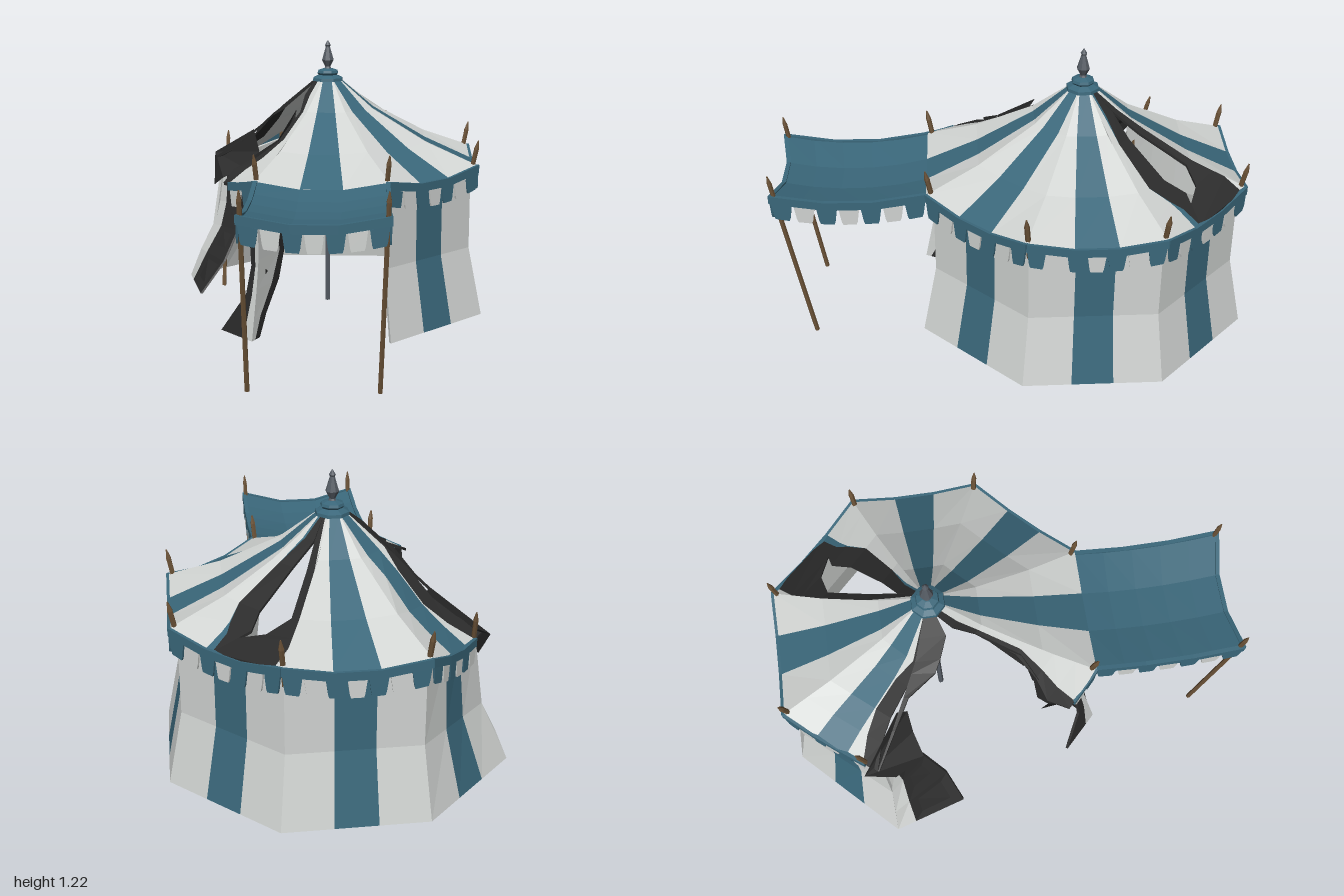
import * as THREE from 'three';

const material = (name, color, side = THREE.FrontSide) => {
  const m = new THREE.MeshStandardMaterial({ color, flatShading: true, side });
  m.name = name;
  return m;
};
const canvas = material('pale canvas', 0xd0d3d1);
const teal = material('teal canvas', 0x3a677a);
const char = material('charred cloth', 0x2b2b2b, THREE.DoubleSide);
const wood = material('wood', 0x6b5237);
const metal = material('dark metal', 0x555b63);

const CZ = -0.31; // tent centre
const V = (x, y, z) => new THREE.Vector3(x, y, z);
const lerp = THREE.MathUtils.lerp;

// Cloth with thickness: each row is [v, cut0, cut1, ...]; mats fill the spans between cuts.
// P(u, v, d) gives a point at depth d below the outer face.
function cloth(name, P, rows, mats, lining = canvas, thick = 0.012) {
  const bins = new Map();
  const quad = (m, a, b, c, d) => {
    if (!bins.has(m)) bins.set(m, []);
    for (const p of [a, b, c, a, c, d]) bins.get(m).push(p.x, p.y, p.z);
  };
  for (let r = 0; r + 1 < rows.length; r++) {
    const [v0, ...top] = rows[r], [v1, ...bot] = rows[r + 1];
    mats.forEach((m, i) => {
      if (top[i + 1] - top[i] < 1e-4 && bot[i + 1] - bot[i] < 1e-4) return;
      const inner = m === char ? char : lining;
      const corners = d => [P(top[i], v0, d), P(top[i + 1], v0, d), P(bot[i + 1], v1, d), P(bot[i], v1, d)];
      const [a, b, c, e] = corners(0), [A, B, C, E] = corners(thick);
      quad(m, a, b, c, e);
      quad(inner, B, A, E, C);
      if (i === 0) quad(inner, a, e, E, A);
      if (i === mats.length - 1) quad(inner, c, b, B, C);
      if (r === 0) quad(inner, b, a, A, B);
      if (r === rows.length - 2) quad(inner, e, c, C, E);
    });
  }
  const group = new THREE.Group();
  group.name = name;
  for (const [m, pos] of bins) {
    const g = new THREE.BufferGeometry();
    g.setAttribute('position', new THREE.Float32BufferAttribute(pos, 3));
    g.computeVertexNormals();
    const mesh = new THREE.Mesh(g, m);
    mesh.name = `${name} ${m.name}`;
    group.add(mesh);
  }
  return group;
}

// Point on one of eight sides, numbered from +x towards the front
function onSide(side, u, R, y) {
  const at = k => { const t = (side * 45 + k * 22.5) * Math.PI / 180; return V(R * Math.cos(t), y, CZ + R * Math.sin(t)); };
  return at(-1).lerp(at(1), u);
}
// The back left corner has collapsed inwards
function collapse(p) {
  const w = Math.max(0, 1 - Math.hypot(p.x + 0.66, p.z + 0.59) / 0.5) * THREE.MathUtils.clamp((p.y - 0.08) / 0.45, 0, 1);
  return p.add(V(0.11 * w, -0.07 * w, -0.03 * w));
}
// Piecewise linear profile of [radius, height]
function profile(list, v) {
  const i = Math.min(Math.floor(v), list.length - 2), t = v - i;
  return [0, 1].map(k => lerp(list[i][k], list[i + 1][k], t));
}
const ROOF = [[0.06, 1.045], [0.22, 0.92], [0.48, 0.785], [0.718, 0.70]];
const WALL = [[0.685, 0.67], [0.685, 0.33], [0.75, 0.03]];
const roofAt = side => (u, v, d) => {
  const [R, y] = profile(ROOF, v);
  const p = onSide(side, u, R, y - 0.035 * (v / 3) ** 2 * 4 * u * (1 - u));
  return collapse(p).add(V(0, -d, 0));
};
const wallAt = side => (u, v, d) => {
  const [R, y] = profile(WALL, v);
  const p = collapse(onSide(side, u, R - d, y));
  if (side === 4) p.x += (1 - u) * (0.17 + 0.35 * (2 - v)); // torn flaps curl inwards
  if (side === 2) p.z -= (1 - u) * 1.2;
  return p;
};

// Teal band and hanging flags along an edge curve
function valance(name, edge, out, start = 0, end = 1) {
  const g = new THREE.Group();
  g.name = name;
  const P = (drop, h, o) => (u, v, d) => edge(u).addScaledVector(out, o - d).add(V(0, drop - h * v, 0));
  const cuts = [0, 0.34, 0.66, 1].map(c => lerp(start, end, c));
  g.add(cloth('eaveBand', P(0.003, 0.035, 0.006), [[0, ...cuts], [1, ...cuts]], [teal, teal, teal], teal, 0.018));
  for (let i = Math.ceil(7 * start); i < Math.floor(7 * end); i++) {
    const a = i / 7 + 0.006, b = (i + 1) / 7 - 0.006, m = i % 2 ? canvas : teal;
    g.add(cloth('flag', P(-0.03, 0.07, 0.003), [[0, a, b], [0.8, a + 0.014, b - 0.014], [1, a + 0.022, b - 0.022]], [m], m, 0.008));
  }
  return g;
}

// Six-sided pole, with a point if tip is above zero
function pole(name, a, b, r, mat = wood, tip = 0.04) {
  const g = new THREE.Group(), len = a.distanceTo(b);
  g.name = name;
  const shaft = new THREE.Mesh(new THREE.CylinderGeometry(r, r, len - tip, 6), mat);
  shaft.position.y = (len - tip) / 2;
  shaft.name = 'shaft';
  g.add(shaft);
  if (tip) {
    const point = new THREE.Mesh(new THREE.CylinderGeometry(r * 0.25, r * 1.1, tip, 6), mat);
    point.position.y = len - tip / 2;
    point.name = 'poleTip';
    g.add(point);
  }
  g.position.copy(a);
  g.quaternion.setFromUnitVectors(V(0, 1, 0), b.clone().sub(a).normalize());
  return g;
}

function scrap(name, pts) {
  const g = new THREE.BufferGeometry().setFromPoints(pts.map(p => V(...p)));
  g.setIndex(pts.slice(2).flatMap((_, i) => [0, i + 1, i + 2]));
  const flat = g.toNonIndexed();
  flat.computeVertexNormals();
  const mesh = new THREE.Mesh(flat, char);
  mesh.name = name;
  return mesh;
}

function lathe(name, pts, mat) {
  const mesh = new THREE.Mesh(new THREE.LatheGeometry(pts.map(p => new THREE.Vector2(...p)), 8), mat);
  mesh.position.z = CZ;
  mesh.rotation.y = Math.PI / 8;
  mesh.name = name;
  return mesh;
}

export function createModel() {
  const tent = new THREE.Group();
  tent.name = 'tornPavilion';
  const striped = [canvas, teal, canvas];

  // Whole roof sides
  const stripe = [0.42, 0.24, 0.18, 0.16];
  for (const s of [0, 1, 2, 6])
    tent.add(cloth('roofSide', roofAt(s), stripe.map((h, v) => [v, 0, 0.5 - h, 0.5 + h, 1]), striped));

  // Torn roof sides
  tent.add(cloth('frontLeftRoof', roofAt(3), [[0, 0, 0.5, 1], [0.5, 0, 0.3, 0.6], [1, 0, 0.15, 0.26], [1.7, 0, 0.1, 0.2],
    [2.2, 0, 0.2, 0.31], [2.6, 0, 0.27, 0.42], [3, 0, 0.29, 0.36]], [canvas, char]));
  tent.add(cloth('leftRoof', roofAt(4), [[0, 0, 1], [0.5, 0, 1], [1, 0.4, 1], [1.2, 0.55, 1], [1.6, 0.93, 1], [2.2, 0.97, 1], [3, 0.99, 1]], [char]));
  tent.add(cloth('backLeftRoof', roofAt(5), [[0, 0, 0, 0.08, 0.92, 1], [1, 0, 0.06, 0.26, 0.74, 1], [1.4, 0, 0.25, 0.28, 0.7, 1],
    [2, 0.08, 0.3, 0.32, 0.68, 1], [2.5, 0.06, 0.24, 0.33, 0.67, 1], [3, 0, 0.16, 0.34, 0.66, 1]], [char, ...striped]));
  tent.add(cloth('backRightRoofInner', roofAt(7), [[0, 0, 0.3, 0.5], [0.6, 0, 0.08, 0.3], [1.2, 0, 0, 0.17], [2, 0, 0, 0.1],
    [2.4, 0, 0, 0.28], [2.6, 0, 0, 0.5], [3, 0, 0.06, 0.6]], [canvas, char]));
  tent.add(cloth('backRightRoofOuter', roofAt(7), [[0, 0.5, 0.7, 0.9, 1], [0.6, 0.32, 0.7, 0.78, 1], [1.2, 0.5, 0.82, 0.82, 1],
    [2, 0.52, 0.8, 0.8, 1], [2.4, 0.44, 0.68, 0.69, 1], [2.6, 0.5, 0.62, 0.67, 1], [3, 0.6, 0.6, 0.66, 1]], [char, teal, canvas]));

  // Walls: five whole sides, three torn remnants
  for (const s of [0, 1, 5, 6, 7])
    tent.add(cloth('wall', wallAt(s), [0, 1, 2].map(v => [v, 0, 0.35, 0.65, 1]), striped, canvas, 0.018));
  tent.add(cloth('frontWallRemnant', wallAt(2), [[0, 0.86, 0.88, 1], [0.9, 0.83, 0.86, 1], [1.3, 0.86, 0.9, 1],
    [1.7, 0.93, 0.96, 1], [2, 0.96, 0.98, 1]], [char, canvas], char));
  tent.add(cloth('frontLeftWallRemnant', wallAt(3), [[0, 0, 0.05, 0.14], [1, 0, 0.04, 0.09], [1.4, 0, 0.05, 0.12], [2, 0, 0.1, 0.36]], [canvas, char]));
  tent.add(cloth('leftWallRemnant', wallAt(4), [[0.15, 0.9, 0.96, 1], [0.6, 0.78, 0.93, 1], [1, 0.7, 0.9, 1],
    [1.5, 0.55, 0.88, 1], [2, 0.45, 0.85, 1]], [char, canvas]));

  // Loose charred scraps
  tent.add(scrap('leftScrap', [[-0.57, 0.64, -0.67], [-0.36, 0.78, -0.5], [-0.33, 0.68, -0.46], [-0.4, 0.6, -0.45], [-0.5, 0.56, -0.42], [-0.56, 0.5, -0.55]]));
  tent.add(scrap('frontScrap', [[-0.39, 0.68, 0.2], [-0.28, 0.72, 0.08], [-0.3, 0.5, 0.1], [-0.34, 0.52, 0.14], [-0.38, 0.6, 0.1]]));
  tent.add(scrap('roofTatter', [[-0.13, 0.93, -0.12], [-0.2, 0.82, 0.04], [-0.22, 0.72, 0.05], [-0.14, 0.86, -0.08]]));
  tent.add(scrap('roofTatter', [[-0.2, 0.82, 0.04], [-0.3, 0.76, 0.1], [-0.27, 0.66, 0.08]]));

  // Eave valances, cut short beside the missing side
  for (const s of [0, 1, 3, 5, 6, 7]) {
    const t = s * Math.PI / 4, P = roofAt(s);
    tent.add(valance('eaveValance', u => P(u, 3, 0), V(Math.cos(t), 0, Math.sin(t)), s === 5 ? 0.14 : 0, s === 3 ? 0.3 : 1));
  }

  // Entrance canopy
  const canopy = (u, v, d = 0) => {
    const sag = 4 * u * (1 - u);
    return V(lerp(0.272, -0.272, u), 0.70 + 0.008 * v - (0.035 + 0.01 * v) * sag - 0.15 * v * (1 - v) - d, lerp(0.352, 0.99, v) - 0.035 * v * sag);
  };
  tent.add(cloth('canopy', canopy, [0, 0.2, 0.4, 0.6, 0.8, 1].map(v => [v, 0, 0.34, 0.66, 1]), [teal, teal, teal], teal));
  tent.add(valance('canopyFront', u => canopy(u, 1), V(0, 0, 1)));
  tent.add(valance('canopyLeft', u => canopy(0, u), V(1, 0, 0)));
  tent.add(valance('canopyRight', u => canopy(1, 1 - u), V(-1, 0, 0)));

  // Poles
  tent.add(pole('canopyPole', V(0.24, 0.005, 0.855), V(0.265, 0.8, 0.99), 0.01));
  tent.add(pole('canopyPole', V(-0.257, 0.005, 0.855), V(-0.262, 0.8, 0.99), 0.01));
  for (const s of [0, 1, 2, 5, 6, 7])
    tent.add(pole('cornerPole', onSide(s, 1, 0.672, 0.6), onSide(s, 1, 0.718, 0.81), 0.011));
  tent.add(pole('leaningPole', V(-0.515, 0.005, -0.5), V(-0.505, 0.745, -0.69), 0.01));
  tent.add(pole('centrePole', V(0, 0, CZ), V(0, 1.04, CZ), 0.012, metal, 0));

  // Crown and finial
  tent.add(lathe('crown', [[0, 1.03], [0.072, 1.037], [0.07, 1.05], [0.042, 1.063], [0.05, 1.072], [0.046, 1.083], [0.02, 1.092], [0, 1.094]], teal));
  tent.add(lathe('finial', [[0.02, 1.085], [0.012, 1.1], [0.028, 1.13], [0.01, 1.19], [0.014, 1.197], [0, 1.22]], metal));
  return tent;
}
